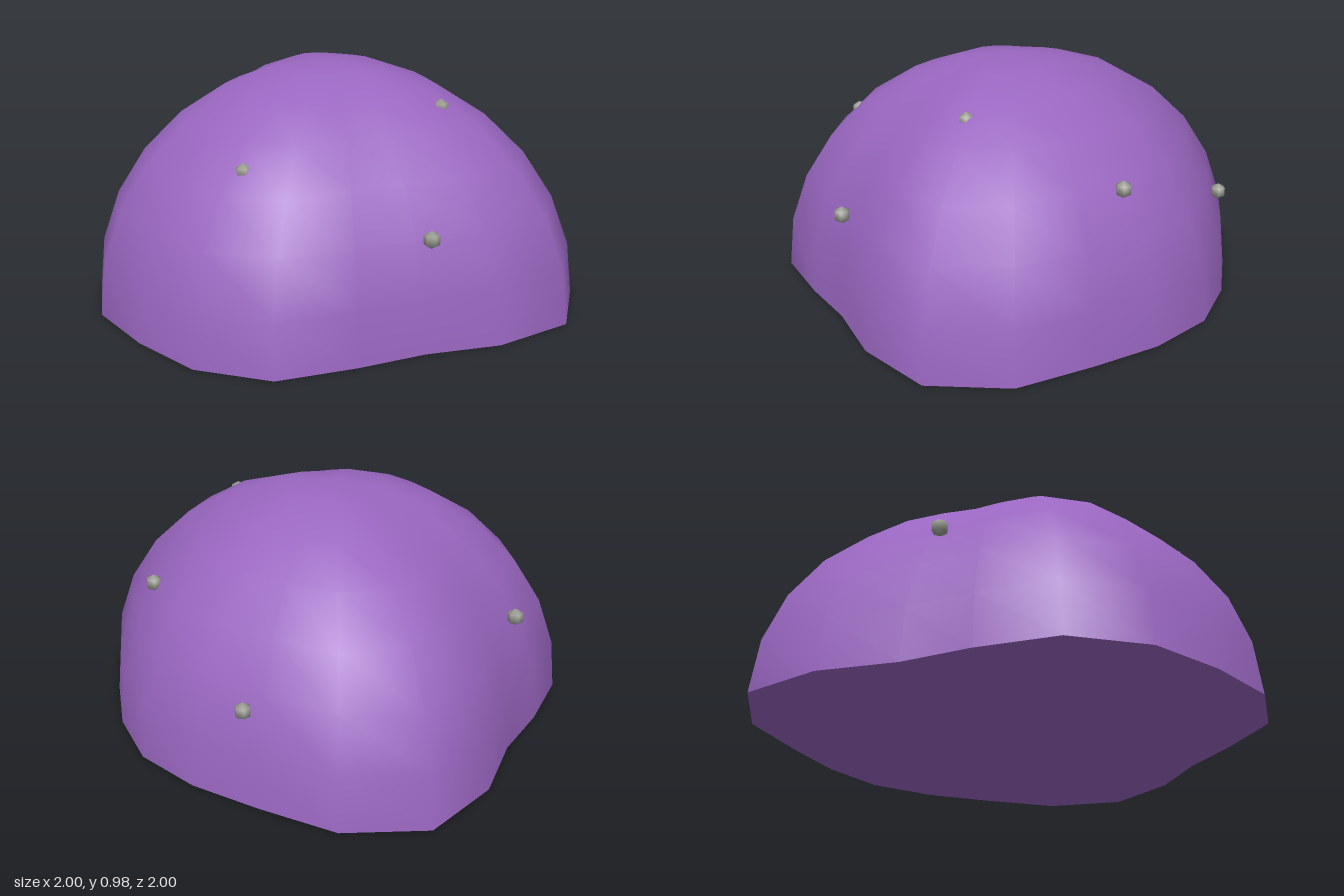
import * as THREE from 'three';
import { mergeVertices } from 'three/addons/utils/BufferGeometryUtils.js';

// Plan radius of the mound every 18 degrees, from +x towards +z
const RADII = [1.05, 1.08, 0.965, 0.86, 0.892, 1.0, 1.02, 0.994, 1.016, 0.996,
  0.9, 0.867, 0.985, 1.096, 1.053, 0.95, 0.933, 0.946, 0.936, 0.95];
const SIDES = RADII.length;
const HEIGHT = 0.975;
const CENTRE_X = -0.05;

// Stretches a unit round shape outwards to the lumpy outline
function makeLumpy(geometry) {
  const p = geometry.attributes.position;
  for (let i = 0; i < p.count; i++) {
    const x = p.getX(i), z = p.getZ(i);
    const step = Math.round(Math.atan2(z, x) / (2 * Math.PI) * SIDES);
    const r = RADII[(step + SIDES) % SIDES];
    p.setXYZ(i, x * r + CENTRE_X, p.getY(i) * HEIGHT, z * r);
  }
  geometry.deleteAttribute('uv');
  geometry.deleteAttribute('normal');
  const merged = mergeVertices(geometry, 1e-4);
  merged.computeVertexNormals();
  return merged;
}

export function createModel() {
  const model = new THREE.Group();
  model.name = 'moundWithPebbles';

  const purple = new THREE.MeshStandardMaterial({ color: 0x9966c0 });
  purple.name = 'purple';
  const grey = new THREE.MeshStandardMaterial({ color: 0x9a9c92 });
  grey.name = 'pebbleGrey';

  const add = (name, geometry, material) => {
    const mesh = new THREE.Mesh(geometry, material);
    mesh.name = name;
    model.add(mesh);
    return mesh;
  };

  // Smooth dome
  add('mound', makeLumpy(
    new THREE.SphereGeometry(1, SIDES, 7, 0, Math.PI * 2, 0, Math.PI / 2)), purple);

  // Flat underside
  add('underside', makeLumpy(
    new THREE.CircleGeometry(1, SIDES).rotateX(Math.PI / 2)), purple);

  // Small pebbles set around the surface
  const pebble = new THREE.SphereGeometry(0.035, 6, 3);
  [
    [0.02, 0.37, -0.89],
    [0.585, 0.6, -0.41],
    [-0.85, 0.53, -0.15],
    [0.44, 0.825, 0.18],
    [-0.235, 0.67, 0.68],
    [0.465, 0.45, 0.67],
  ].forEach((at, i) => add(`pebble${i + 1}`, pebble, grey).position.set(...at));

  return model;
}
